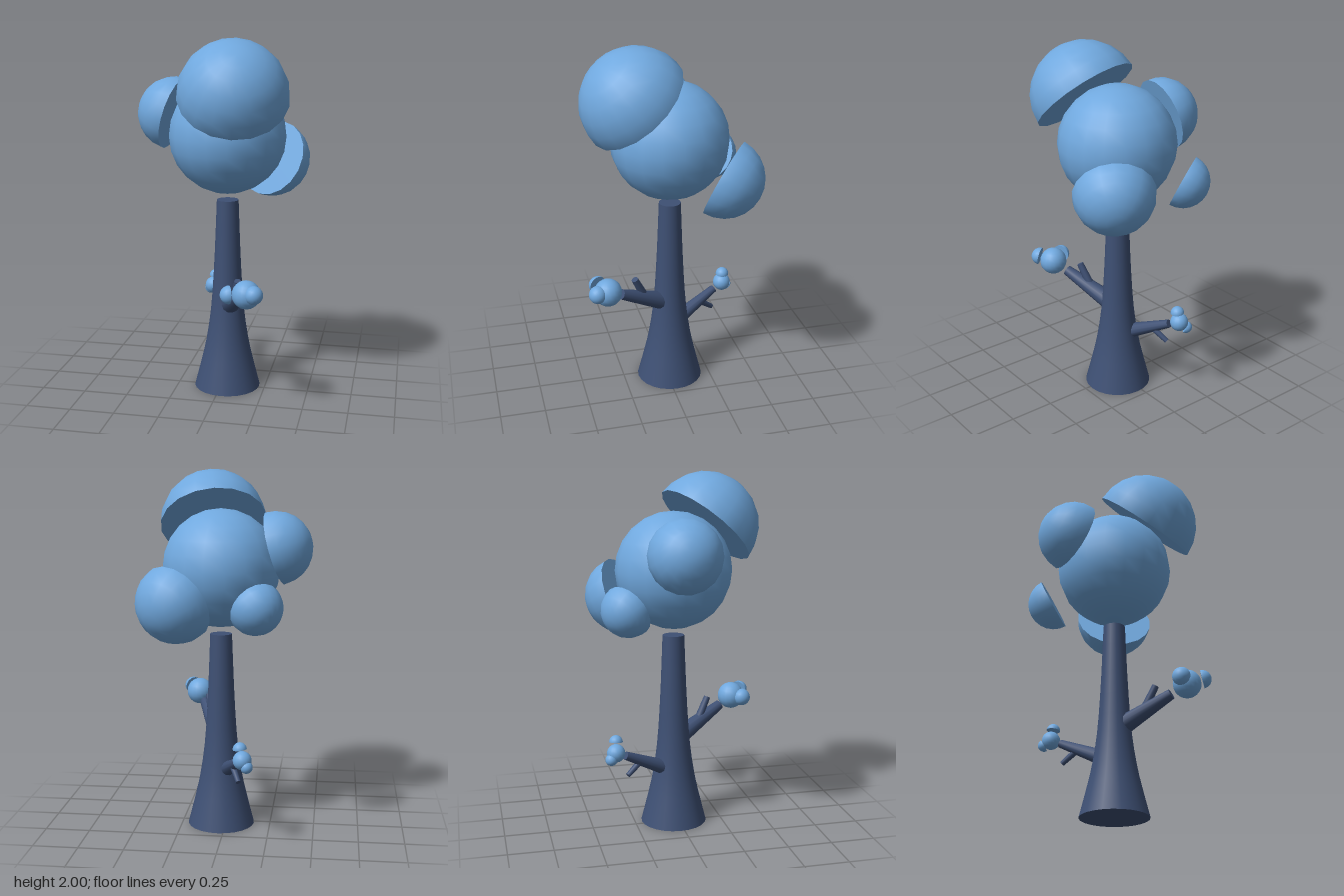
import * as THREE from 'three';
import { mergeGeometries } from 'three/addons/utils/BufferGeometryUtils.js';

const UP = new THREE.Vector3(0, 1, 0);

export function createModel() {
  const tree = new THREE.Group();
  tree.name = 'tree';
  const leaf = new THREE.MeshStandardMaterial({ color: 0x70a8de });
  leaf.name = 'foliage blue';
  const bark = new THREE.MeshStandardMaterial({ color: 0x3e5074 });
  bark.name = 'bark navy';

  const add = (name, geometry, material, position, direction) => {
    const mesh = new THREE.Mesh(geometry, material);
    mesh.name = name;
    mesh.position.set(...position);
    if (direction) {
      mesh.quaternion.setFromUnitVectors(UP, new THREE.Vector3(...direction).normalize());
    }
    tree.add(mesh);
  };

  // Full leaf ball
  const ball = (name, r, position) =>
    add(name, new THREE.SphereGeometry(r, 18, 12), leaf, position);

  // Closed half ball, dome pointing along direction
  const halfBall = (name, r, position, direction) => {
    const dome = new THREE.SphereGeometry(r, 18, 6, 0, Math.PI * 2, 0, Math.PI / 2);
    const cap = new THREE.CircleGeometry(r, 18, Math.PI).rotateX(Math.PI / 2);
    add(name, mergeGeometries([dome, cap]), leaf, position, direction);
  };

  // Tapered limb between two points
  const limb = (name, from, to, r0, r1) => {
    const a = new THREE.Vector3(...from);
    const b = new THREE.Vector3(...to);
    const middle = a.clone().add(b).multiplyScalar(0.5);
    add(name, new THREE.CylinderGeometry(r1, r0, a.distanceTo(b), 12), bark,
      middle.toArray(), b.sub(a).toArray());
  };

  // Flared trunk with flat ends
  const profile = [[0.188, 0], [0.155, 0.13], [0.121, 0.28], [0.093, 0.48], [0.075, 0.75], [0.061, 1.1]];
  const curve = new THREE.SplineCurve(profile.map(([r, y]) => new THREE.Vector2(r, y)));
  const trunk = mergeGeometries([
    new THREE.LatheGeometry(curve.getPoints(12), 24),
    new THREE.CircleGeometry(0.188, 24).rotateX(Math.PI / 2),
    new THREE.CircleGeometry(0.061, 24).rotateX(-Math.PI / 2).translate(0, 1.1, 0),
  ]);
  add('trunk', trunk, bark, [0.03, 0, -0.022]);

  // Crown
  ball('crown', 0.325, [0.03, 1.465, -0.02]);
  halfBall('crownTopFront', 0.3, [0.095, 1.7, 0.175], [0.17, 0.74, 0.64]);
  halfBall('crownRight', 0.203, [-0.27, 1.575, -0.025], [-0.95, 0.28, -0.12]);
  halfBall('crownBackLeft', 0.22, [0.24, 1.303, -0.265], [0.49, -0.42, -0.76]);
  halfBall('crownBackRight', 0.147, [-0.185, 1.29, -0.315], [-0.53, -0.43, -0.73]);

  // Front branch with its tuft
  limb('frontBranch', [0.045, 0.495, 0.01], [0.165, 0.635, 0.287], 0.055, 0.029);
  limb('frontTwig', [0.1, 0.57, 0.14], [0.13, 0.698, 0.203], 0.024, 0.019);
  ball('frontTuft', 0.077, [0.205, 0.678, 0.368]);
  halfBall('frontTuftLeft', 0.05, [0.255, 0.698, 0.432], [0.62, 0.2, 0.75]);
  halfBall('frontTuftRight', 0.05, [0.122, 0.686, 0.41], [-0.9, 0.05, 0.42]);

  // Back branch with its tuft
  limb('backBranch', [0, 0.325, -0.06], [-0.1, 0.455, -0.325], 0.045, 0.023);
  limb('backTwig', [-0.06, 0.4, -0.235], [-0.098, 0.337, -0.312], 0.018, 0.014);
  ball('backTuft', 0.051, [-0.125, 0.482, -0.382]);
  halfBall('backTuftTop', 0.038, [-0.112, 0.543, -0.38], [0.12, 1, 0.03]);
  halfBall('backTuftSide', 0.034, [-0.15, 0.455, -0.412], [-0.6, -0.5, -0.63]);

  return tree;
}
